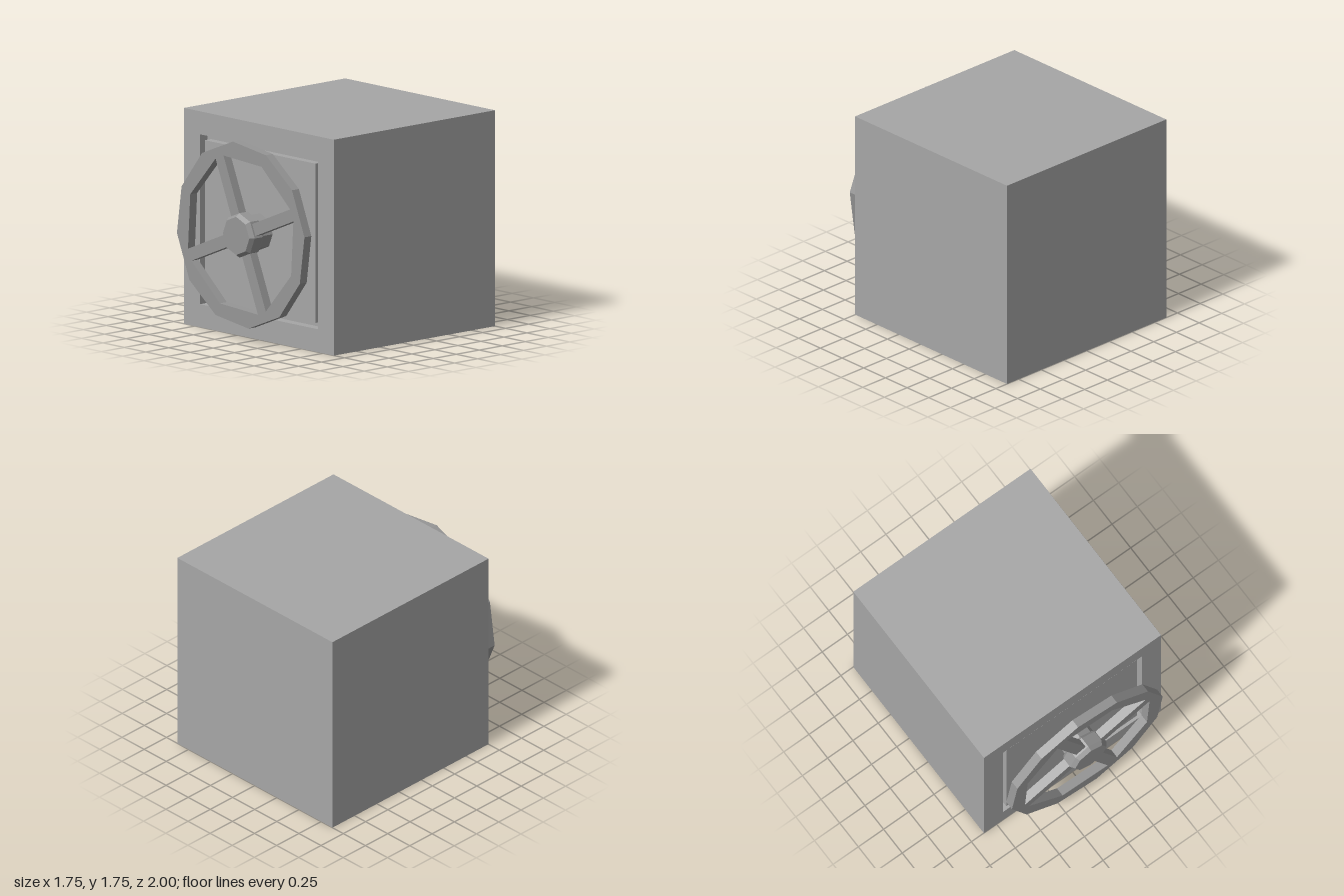
import * as THREE from 'three';

const HALF = 0.877;
const CENTRE_Y = HALF;
const FRONT = 0.752;
const GROOVE = 0.08;
const DOOR_DEPTH = 0.068;

const bodyMaterial = new THREE.MeshStandardMaterial({ color: 0xa6a6a6, flatShading: true });
const handleMaterial = new THREE.MeshStandardMaterial({ color: 0x969696, flatShading: true });

function addMesh(parent, name, geometry, material, y = 0, z = 0) {
  const mesh = new THREE.Mesh(geometry, material);
  mesh.name = name;
  mesh.position.set(0, y, z);
  parent.add(mesh);
}

function points(list) {
  return list.map(([x, y]) => new THREE.Vector2(x, y));
}

function square(h) {
  return points([[-h, -h], [h, -h], [h, h], [-h, h]]);
}

function extrude(shape, depth) {
  return new THREE.ExtrudeGeometry(shape, { depth, bevelEnabled: false });
}

// Eight-sided turned part along z, from [radius, z] points running back to front
function turned(profile) {
  return new THREE.LatheGeometry(points(profile), 8).rotateX(Math.PI / 2);
}

// Twelve-sided rim and four spokes cut from one plate
function wheelGeometry() {
  const shape = new THREE.Shape(
    Array.from({ length: 12 }, (_, i) => {
      const a = THREE.MathUtils.degToRad(7 + i * 30);
      return new THREE.Vector2(0.752 * Math.cos(a), 0.752 * Math.sin(a));
    })
  );
  const opening = points([[0.05, 0.05], [0.647, 0.05], [0.452, 0.452], [0.05, 0.647]]);
  const origin = new THREE.Vector2();
  for (let i = 0; i < 4; i++) {
    const turn = THREE.MathUtils.degToRad(22.5 + i * 90);
    shape.holes.push(new THREE.Path(opening.map((p) => p.clone().rotateAround(origin, turn))));
  }
  return extrude(shape, 0.075);
}

export function createModel() {
  const model = new THREE.Group();
  model.name = 'safe';

  // Body, with a front frame that leaves a groove around the door
  const bodyDepth = FRONT - GROOVE + 1;
  addMesh(model, 'body', new THREE.BoxGeometry(2 * HALF, 2 * HALF, bodyDepth),
    bodyMaterial, CENTRE_Y, -1 + bodyDepth / 2);
  const frame = new THREE.Shape(square(HALF));
  frame.holes.push(new THREE.Path(square(0.69)));
  addMesh(model, 'doorFrame', extrude(frame, GROOVE), bodyMaterial, CENTRE_Y, FRONT - GROOVE);
  addMesh(model, 'door', new THREE.BoxGeometry(1.294, 1.294, DOOR_DEPTH),
    bodyMaterial, CENTRE_Y, FRONT - GROOVE + DOOR_DEPTH / 2);

  // Hand wheel on its shaft
  const handle = new THREE.Group();
  handle.name = 'handle';
  handle.position.y = CENTRE_Y;
  model.add(handle);
  addMesh(handle, 'shaft', turned([[0.148, FRONT - GROOVE / 2], [0.148, 0.86]]), handleMaterial);
  addMesh(handle, 'hub', turned([
    [0, 0.853], [0.162, 0.853], [0.18, 0.875], [0.18, 0.965], [0.155, 1], [0, 1],
  ]), handleMaterial);
  addMesh(handle, 'wheel', wheelGeometry(), handleMaterial, 0, 0.875);

  return model;
}
